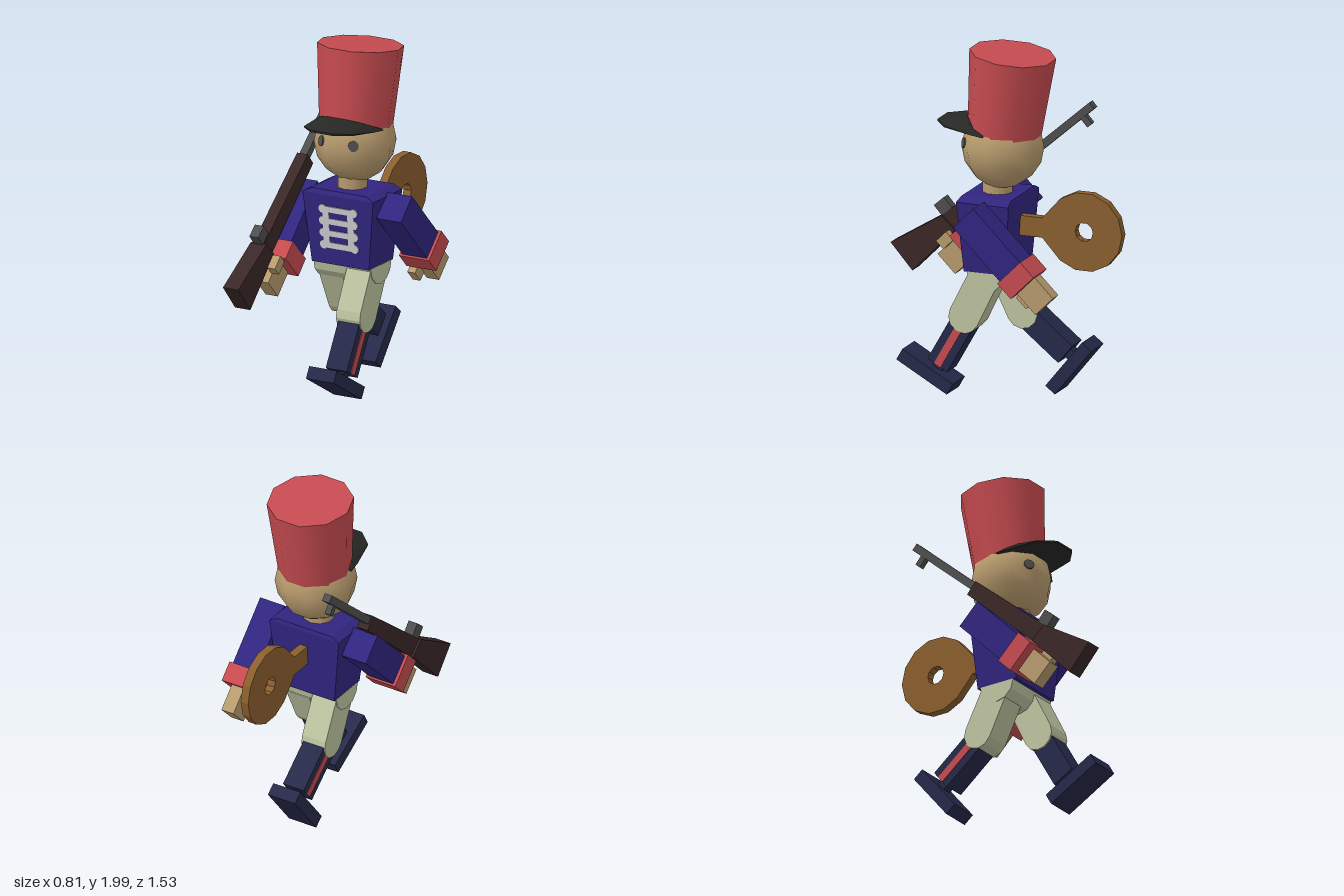
import * as THREE from 'three';
import { ConvexGeometry } from 'three/addons/geometries/ConvexGeometry.js';

const paint = (name, hex) => {
  const m = new THREE.MeshStandardMaterial({ color: hex });
  m.name = name;
  return m;
};

export function createModel() {
  const red = paint('red', 0xc64b50), blue = paint('coat blue', 0x30257f);
  const navy = paint('boot navy', 0x262949), cream = paint('trouser cream', 0xbdc4a0);
  const skin = paint('skin', 0xb89b6e), brass = paint('key brown', 0x8a5f2e);
  const wood = paint('rifle wood', 0x3a2727), steel = paint('steel grey', 0x4e4e4e);
  const black = paint('visor black', 0x272726), white = paint('braid white', 0xc9c9cd);

  const model = new THREE.Group();
  model.name = 'toySoldier';

  const add = (parent, name, geo, mat, x = 0, y = 0, z = 0) => {
    const m = new THREE.Mesh(geo, mat);
    m.name = name;
    m.position.set(x, y, z);
    parent.add(m);
    return m;
  };
  const box = (parent, name, mat, w, h, d, x, y, z) =>
    add(parent, name, new THREE.BoxGeometry(w, h, d), mat, x, y, z);
  const group = (name, x, y, z, tilt) => {
    const g = new THREE.Group();
    g.name = name;
    g.position.set(x, y, z);
    g.rotation.x = tilt;
    model.add(g);
    return g;
  };
  const arc = (cz, cy, r, from, to, n) => Array.from({ length: n + 1 }, (_, i) => {
    const a = from + (to - from) * i / n;
    return [cz + r * Math.cos(a), cy + r * Math.sin(a)];
  });
  // Side profile of [z, y] points, extruded across x
  const slab = (points, width, hole) => {
    const shape = new THREE.Shape(points.map(p => new THREE.Vector2(...p)));
    if (hole) shape.holes.push(new THREE.Path(hole.map(p => new THREE.Vector2(...p))));
    const geo = new THREE.ExtrudeGeometry(shape, { depth: width, bevelEnabled: false });
    return geo.translate(0, 0, -width / 2).rotateY(-Math.PI / 2);
  };
  // Convex solid from [x, y, z] points mirrored over x
  const hull = pts => new ConvexGeometry(pts.flatMap(([x, y, z]) =>
    [new THREE.Vector3(x, y, z), new THREE.Vector3(-x, y, z)]));

  // Head, neck and eyes
  add(model, 'head', new THREE.SphereGeometry(0.232, 10, 8), skin, 0, 1.43, -0.06);
  add(model, 'neck', new THREE.CylinderGeometry(0.088, 0.088, 0.12, 10), skin, 0, 1.2, -0.03);
  for (const s of [-1, 1]) {
    const eye = add(model, 'eye', new THREE.CylinderGeometry(0.03, 0.03, 0.008, 12).rotateX(Math.PI / 2),
      steel, s * 0.105, 1.458, 0.135);
    eye.rotation.set(-0.19, s * 0.628, 0, 'YXZ');
  }

  // Tall hat leaning back, with its visor
  const hat = group('hat', 0, 1.748, -0.095, -0.108);
  add(hat, 'hatCrown', new THREE.CylinderGeometry(0.245, 0.208, 0.457, 10).rotateY(Math.PI / 2), red);
  add(model, 'visor', hull([
    [0.2, 1.535, -0.02], [0.185, 1.555, 0.03], [0.14, 1.585, 0.09], [0.07, 1.605, 0.13],
    [0.21, 1.527, -0.02], [0.2, 1.535, 0.06], [0.16, 1.552, 0.23], [0.072, 1.558, 0.305],
    [0.16, 1.56, 0.23], [0.072, 1.57, 0.305],
  ]), black);

  // Coat
  add(model, 'torso', hull([
    [0.186, 0.735, 0.1], [0.186, 0.735, -0.16], [0.23, 1.145, 0.13], [0.23, 1.145, -0.185],
    [0.178, 1.17, 0.118], [0.178, 1.17, -0.18],
  ]), blue);

  // Chest braid: four bars with round ends joined by two uprights
  const braid = group('braid', 0, 0.955, 0.119, 0.073);
  for (let i = 0; i < 4; i++) {
    const y = (i - 1.5) * 0.071;
    box(braid, 'braidBar', white, 0.2, 0.034, 0.006, 0, y, 0);
    for (const s of [-1, 1]) {
      add(braid, 'braidKnot', new THREE.CylinderGeometry(0.026, 0.026, 0.006, 10).rotateX(Math.PI / 2),
        white, s * 0.1, y, 0);
    }
  }
  for (const s of [-1, 1]) box(braid, 'braidUpright', white, 0.04, 0.213, 0.006, s * 0.08, 0, 0);

  // Wind-up key
  const turn = 0.89;
  add(model, 'windUpKey', slab([
    [-0.15, 0.935], [-0.31, 0.935], ...arc(-0.563, 0.993, 0.23, -turn, turn - 2 * Math.PI, 10),
    [-0.31, 1.05], [-0.15, 1.05],
  ], 0.05, arc(-0.563, 0.993, 0.054, 0, Math.PI * 1.8, 9)), brass, 0.007);

  // Hips
  add(model, 'hips', slab(arc(-0.03, 0.737, 0.112, -Math.PI, 0, 6), 0.374), cream);

  // Arms: side +1 swings back, side -1 swings forward
  for (const s of [1, -1]) {
    const arm = group(s > 0 ? 'leftArm' : 'rightArm', s * 0.305, 1.05, -0.03, s * Math.PI / 4);
    box(arm, 'sleeve', blue, 0.16, 0.4, 0.172, 0, -0.124, 0);
    box(arm, 'cuff', red, 0.195, 0.115, 0.195, 0, -0.382, 0);
    box(arm, 'hand', skin, 0.08, 0.17, 0.15, 0, -0.51, 0);
    box(arm, 'thumb', skin, 0.05, 0.085, 0.062, -s * 0.055, -0.487, 0.1);
  }

  // Legs: side +1 steps forward, side -1 trails
  for (const s of [1, -1]) {
    const side = s > 0 ? 'left' : 'right';
    const leg = group(side + 'Thigh', s * 0.105, 0.735, -0.03, -s * 0.46);
    add(leg, 'thigh', slab([
      ...arc(0, 0, 0.09, 0, Math.PI, 6), ...arc(0, -0.3, 0.092, Math.PI, 2 * Math.PI, 6),
    ], 0.155), cream);

    const boot = group(side + 'Boot', s * 0.107, 0.46, s > 0 ? 0.1 : -0.16, s > 0 ? -0.515 : 0.89);
    box(boot, 'bootLeg', navy, 0.137, 0.3, 0.137, 0, -0.185, 0);
    box(boot, 'bootStripe', red, 0.006, 0.3, 0.045, s * 0.07, -0.185, 0);
    box(boot, 'ankle', navy, 0.06, 0.06, 0.06, 0, -0.355, 0);
    box(boot, 'foot', navy, 0.18, 0.073, 0.35, 0, -0.403, 0.04);
  }

  // Rifle: muzzle along local -z
  const rifle = group('rifle', -0.335, 0.638, 0.67, 0.718);
  add(rifle, 'rifleStock', slab([[0, 0.1], [-0.354, 0.04], [-0.365, -0.073], [0, -0.1]], 0.1), wood);
  add(rifle, 'rifleForestock', slab(
    [[-0.34, 0.04], [-0.975, 0.028], [-0.975, -0.06], [-0.34, -0.073]], 0.07), wood);
  box(rifle, 'rifleBarrel', steel, 0.048, 0.045, 0.57, 0, -0.003, -1.225);
  box(rifle, 'rifleHammer', steel, 0.058, 0.085, 0.08, 0, 0.07, -0.386);
  box(rifle, 'rifleSight', steel, 0.035, 0.065, 0.038, 0, -0.05, -1.42);

  return model;
}
